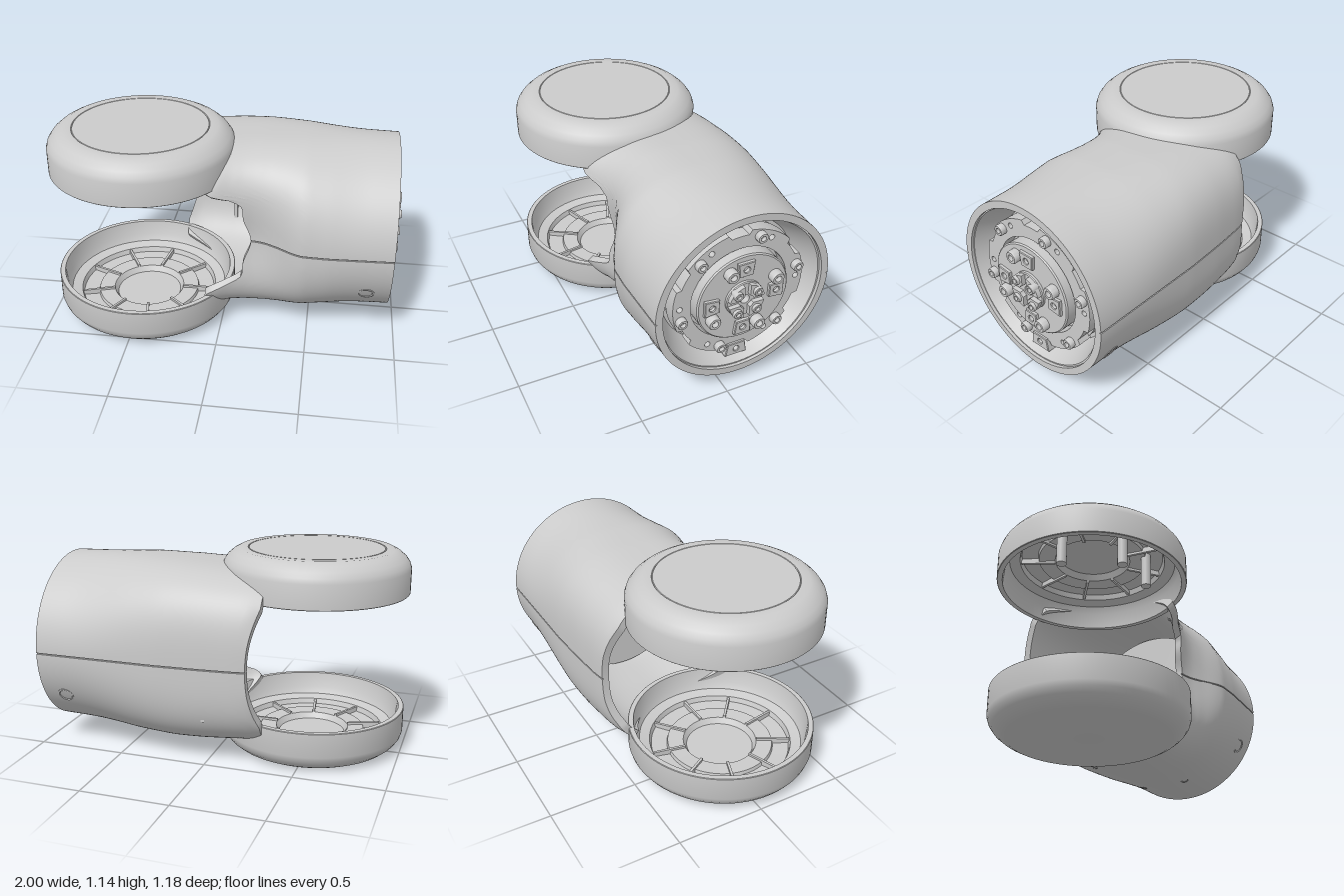
import * as THREE from 'three';
import { toCreasedNormals } from 'three/addons/utils/BufferGeometryUtils.js';

const mat = new THREE.MeshStandardMaterial({ color: 0xcccccc });
const CY = 0.575, CZ = -0.09;          // axis of the housing (runs along x)
const JX = -0.475, JZ = 0.065;         // axis of the joint discs (runs along y)
const { smoothstep } = THREE.MathUtils;

function add(parent, name, geometry) {
  const mesh = new THREE.Mesh(geometry, mat);
  mesh.name = name;
  parent.add(mesh);
  return mesh;
}

function lathe(points, segments = 64) {
  const g = new THREE.LatheGeometry(points.map(p => new THREE.Vector2(p[0], p[1])), segments);
  return toCreasedNormals(g, 0.6);
}

// piecewise-linear lookup in [x, value] pairs
function lookup(keys, x) {
  if (x <= keys[0][0]) return keys[0][1];
  for (let i = 1; i < keys.length; i++) {
    const [x0, v0] = keys[i - 1], [x1, v1] = keys[i];
    if (x <= x1) return v0 + (v1 - v0) * (x - x0) / (x1 - x0);
  }
  return keys[keys.length - 1][1];
}

const HEIGHT = [[-0.3, 0.47], [0, 0.493], [0.2, 0.506], [0.45, 0.511], [0.95, 0.497]];
const FRONT = [[-0.1, 0.53], [-0.03, 0.51], [0.05, 0.46], [0.12, 0.437], [0.18, 0.43], [0.25, 0.434],
  [0.33, 0.455], [0.4, 0.483], [0.46, 0.503], [0.6, 0.508], [0.95, 0.495]];
const BACK = [[-0.3, 0.44], [-0.26, 0.462], [-0.18, 0.475], [0, 0.49], [0.25, 0.502], [0.95, 0.502]];

// superellipse section, round at the flange, scooped in at the front of the joint
function section(x, a, inset) {
  const c = Math.cos(a), s = Math.sin(a);
  const n = 3.1 - 1.1 * smoothstep(x, 0, 0.8);
  const r = Math.pow(Math.abs(c) ** n + Math.abs(s) ** n, -1 / n);
  const scoop = s > 0 ? 1 - 0.13 * s ** 8 * (1 - smoothstep(x, 0.15, 0.45)) : 1;
  const hz = lookup(s > 0 ? FRONT : BACK, x) * scoop;
  return [CY + (lookup(HEIGHT, x) - inset) * r * c, CZ + (hz - inset) * r * s];
}

// where the housing wall starts: cut round the joint, longer at the arms
function startX(a) {
  let x = 0.05;
  for (let k = 0; k < 14; k++) {
    const [y, z] = section(x, a, 0);
    const dy = Math.abs(y - CY);
    const open = 0.155 * (1 - smoothstep(dy, 0.21, 0.35)) + 0.035 * (1 - smoothstep(dy, 0, 0.16));
    const rc = 0.49 + (Math.sin(a) > 0 ? open : 0);
    const cut = JX + Math.sqrt(Math.max(0, rc * rc - (z - JZ) ** 2));
    const end = -0.25 - 0.06 * Math.min(1, (dy / 0.33) ** 2);
    x = (x + Math.max(cut, end)) / 2;
  }
  return x;
}

// thick tube wall: outer skin, flange-end rim, inner skin, joint-end rim, with a sunk seam at mid height
function housing() {
  const A = 80, T = 36, gap = 0.007, pos = [], idx = [];
  const columns = [];
  for (const offset of [0, Math.PI]) {
    for (let i = 0; i <= A; i++) columns.push([offset - Math.PI / 2 + gap + (Math.PI - 2 * gap) * i / A, 0]);
    for (const d of [-0.005, 0.005]) columns.push([offset + Math.PI / 2 + d, 0.008]);
  }
  columns.push(columns[0]);
  const loop = [];
  for (let j = 0; j <= T; j++) loop.push([j / T, 0]);
  for (let j = T; j >= 0; j--) loop.push([j / T, 0.04]);
  loop.push([0, 0]);
  for (const [a, groove] of columns) {
    const x0 = startX(a);
    for (const [t, inset] of loop) {
      const x = x0 + (0.953 - x0) * t;
      pos.push(x, ...section(x, a, Math.max(inset, groove)));
    }
  }
  const L = loop.length;
  for (let i = 0; i < columns.length - 1; i++) for (let j = 0; j < L - 1; j++) {
    const p = i * L + j, q = p + L;
    idx.push(p, q, q + 1, p, q + 1, p + 1);
  }
  const g = new THREE.BufferGeometry();
  g.setAttribute('position', new THREE.Float32BufferAttribute(pos, 3));
  g.setIndex(idx);
  return toCreasedNormals(g, 0.6);
}

// joint cup, open upwards, with ribs inside; cap is the closed face's profile
function jointCup(name, cap) {
  const cup = new THREE.Group();
  cup.name = name;
  add(cup, 'cupShell', lathe([[0, 0], ...cap, [0.43, 0], [0.465, 0.018],
    [0.497, 0.045], [0.516, 0.072], [0.525, 0.1], [0.525, 0.235], [0.522, 0.238], [0.495, 0.238], [0.482, 0.15],
    [0.462, 0.11], [0.405, 0.095], [0.395, 0.065], [0.305, 0.06], [0.3, 0.08], [0.21, 0.078], [0.19, 0.045], [0, 0.045]], 96));
  for (let i = 0; i < 9; i++) {
    const rib = new THREE.BoxGeometry(0.19, 0.05, 0.014).translate(0.305, 0.067, 0);
    add(cup, 'rib', rib.rotateY(i * Math.PI / 4.5));
  }
  return cup;
}

const screw = (r, h) => lathe([[0, 0], [r, 0], [r, h * 0.85], [r * 0.88, h], [r * 0.5, h], [r * 0.5, h * 0.4], [0, h * 0.4]], 20);

// outer flange ring with cut-outs, extruded along x
function flangeRing() {
  const pts = [];
  for (let d = 0; d < 360; d += 2) {
    const r = Math.abs((d % 60) - 32) < 9 ? 0.35 : 0.376, a = d * Math.PI / 180;
    pts.push(new THREE.Vector2(r * Math.cos(a), r * Math.sin(a)));
  }
  const shape = new THREE.Shape(pts);
  shape.holes.push(new THREE.Path().absarc(0, 0, 0.278, 0, Math.PI * 2, true));
  for (let k = 0; k < 6; k++) {
    const a = k * Math.PI / 3;
    shape.holes.push(new THREE.Path().absarc(0.338 * Math.cos(a), 0.338 * Math.sin(a), 0.016, 0, Math.PI * 2, true));
  }
  const g = new THREE.ExtrudeGeometry(shape, { depth: 0.08, bevelEnabled: false, curveSegments: 40 });
  return toCreasedNormals(g.rotateY(Math.PI / 2), 0.5);
}

// tapered lug with a round hole
function lug(w, h, depth) {
  const shape = new THREE.Shape([[-w * 0.4, -h / 2], [w * 0.4, -h / 2], [w / 2, h / 2], [-w / 2, h / 2]]
    .map(p => new THREE.Vector2(...p)));
  shape.holes.push(new THREE.Path().absarc(0, 0, h * 0.27, 0, Math.PI * 2, true));
  return new THREE.ExtrudeGeometry(shape, { depth, bevelEnabled: true, bevelSize: 0.004, bevelThickness: 0.004, bevelSegments: 1 })
    .rotateZ(-Math.PI / 2).rotateY(Math.PI / 2);
}

export function createModel() {
  const root = new THREE.Group();

  // joint cups, the upper one turned over and with a grooved lid
  const lower = jointCup('lowerJointCup', []);
  lower.position.set(JX, 0, JZ);
  const upper = jointCup('upperJointCup', [[0.377, 0], [0.38, 0.004], [0.383, 0]]);
  upper.position.set(JX, 1.145, JZ);
  upper.rotation.x = Math.PI;
  for (const d of [180, -115, -65]) {
    const a = d * Math.PI / 180;
    const boss = add(upper, 'boss', new THREE.CylinderGeometry(0.028, 0.028, 0.2, 16));
    boss.position.set(0.3 * Math.cos(a), 0.158, 0.3 * Math.sin(a));
  }
  root.add(lower, upper);

  add(root, 'housing', housing());
  // upright rib on the inside of the back wall
  add(root, 'wallRib', new THREE.BoxGeometry(0.02, 0.3, 0.06)).position.set(-0.01, 0.42, -0.515);

  // parts turned about the housing axis
  const flange = new THREE.Group();
  flange.name = 'toolFlange';
  flange.position.set(0, CY, CZ);
  root.add(flange);
  const turned = (name, points) => add(flange, name, lathe(points, 72).rotateZ(-Math.PI / 2));
  turned('bulkhead', [[0.026, 0.46], [0.45, 0.46], [0.45, 0.48], [0.026, 0.48], [0.026, 0.46]]);
  turned('recessWall', [[0.026, 0.72], [0.46, 0.72], [0.46, 0.935], [0.451, 0.935], [0.385, 0.78], [0.365, 0.78],
    [0.365, 0.83], [0.262, 0.83], [0.262, 0.935], [0.255, 0.942], [0.105, 0.942], [0.105, 0.955], [0.1, 0.96],
    [0.026, 0.96], [0.026, 0.72]]);
  add(flange, 'flangeRing', flangeRing()).position.x = 0.82;

  // place a part on the flange face at radius r and angle d (degrees)
  const onFace = (name, geometry, x, r, d) => {
    const a = d * Math.PI / 180;
    const m = add(flange, name, geometry);
    m.position.set(x, r * Math.sin(a), -r * Math.cos(a));
    return m;
  };
  const bolt = (r, h) => screw(r, h).rotateZ(-Math.PI / 2);
  for (let k = 0; k < 6; k++) onFace('rimScrew', bolt(0.03, 0.035), 0.898, 0.34, 13 + 60 * k);
  for (let k = 0; k < 4; k++) {
    onFace('plateScrew', bolt(0.036, 0.045), 0.94, 0.197, 26 + 90 * k);
    onFace('hubScrew', bolt(0.026, 0.045), 0.955, 0.079, 45 + 90 * k);
    onFace('lug', lug(0.088, 0.075, 0.022), 0.935, 0.185, 90 * k).rotation.x = Math.PI / 2 * k;
    // hub quarters between slots
    const pad = new THREE.Shape();
    pad.absarc(0, 0, 0.1, 0.17, Math.PI / 2 - 0.17, false);
    pad.absarc(0, 0, 0.04, Math.PI / 2 - 0.4, 0.4, true);
    const g = new THREE.ExtrudeGeometry(pad, { depth: 0.03, bevelEnabled: false });
    add(flange, 'hubPad', g.rotateY(Math.PI / 2).translate(0.955, 0, 0)).rotation.x = Math.PI / 2 * k;
  }
  onFace('keyLug', lug(0.12, 0.07, 0.07), 0.84, 0.375, -90).rotation.x = -Math.PI / 2;

  // screw sockets in the housing skin: [x, angle, radius]
  const sockets = [[0.82, 2.1, 0.04], [0.82, -2.1, 0.04], [0.62, 2.85, 0.02], [0.62, -2.85, 0.02], [0.12, -2.75, 0.02]];
  for (const [x, a, r] of sockets) {
    const [y, z] = section(x, a, 0);
    const m = add(root, 'screwSocket', lathe([[r * 1.2, -0.02], [r * 1.2, 0.001], [r, 0.003], [r * 0.8, -0.004], [0, -0.004]], 24));
    m.position.set(x, y, z);
    m.quaternion.setFromUnitVectors(new THREE.Vector3(0, 1, 0), new THREE.Vector3(0, y - CY, z - CZ).normalize());
  }
  return root;
}
